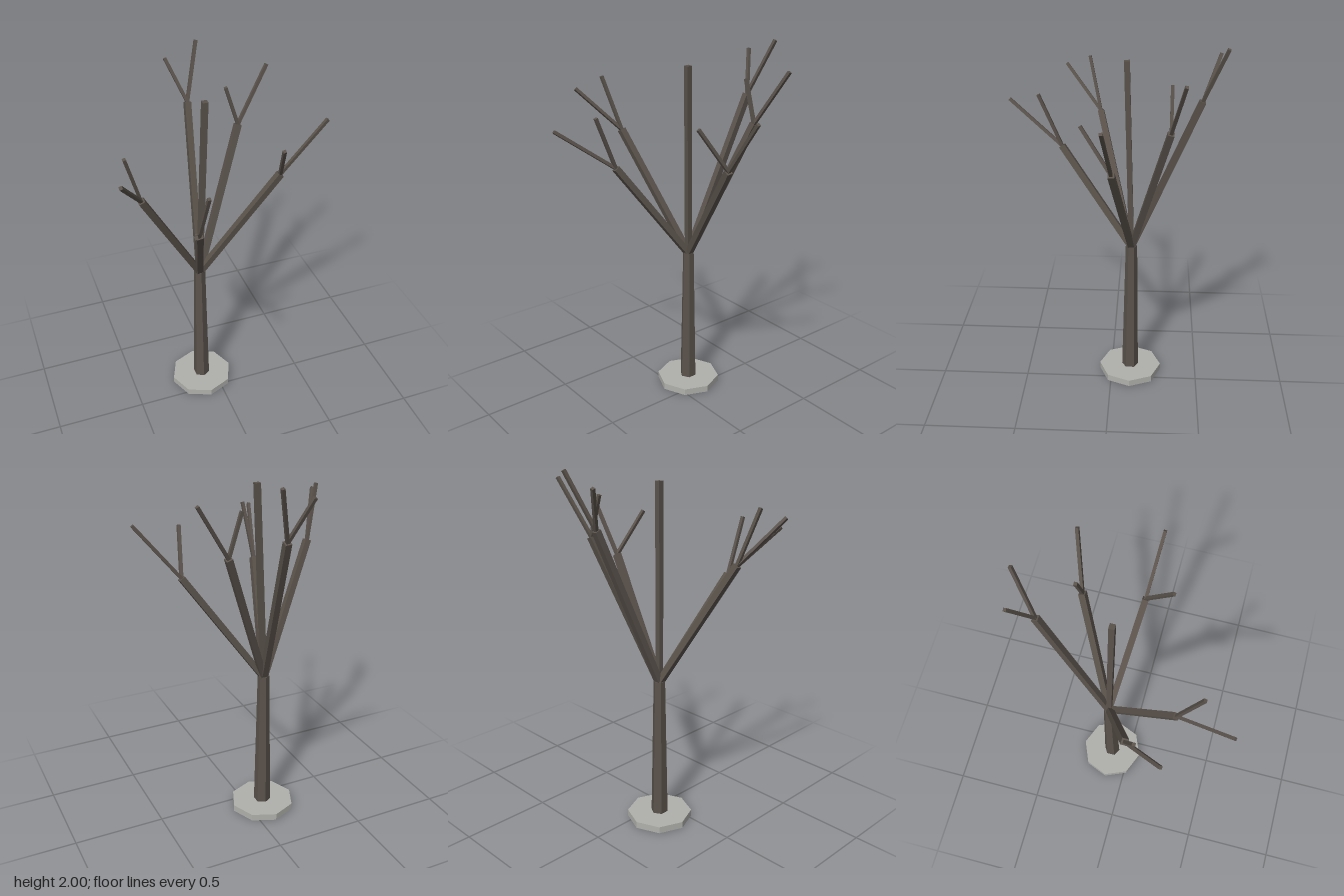
import * as THREE from 'three';

const UP = new THREE.Vector3(0, 1, 0);

export function createModel() {
  const tree = new THREE.Group();
  tree.name = 'bareTree';
  const bark = new THREE.MeshStandardMaterial({ color: 0x5a524b });
  bark.name = 'bark';
  bark.flatShading = true;
  const stone = new THREE.MeshStandardMaterial({ color: 0xb0b0ac });
  stone.name = 'stone';
  stone.flatShading = true;

  function add(name, geometry, material, parent = tree) {
    const mesh = new THREE.Mesh(geometry, material);
    mesh.name = name;
    parent.add(mesh);
    return mesh;
  }

  // Square bar running between two points
  function limb(name, from, to, width, parent) {
    const a = new THREE.Vector3(...from);
    const b = new THREE.Vector3(...to);
    const dir = b.clone().sub(a);
    const mesh = add(name, new THREE.BoxGeometry(width, dir.length(), width), bark, parent);
    mesh.position.copy(a).add(b).multiplyScalar(0.5);
    mesh.quaternion.setFromUnitVectors(UP, dir.normalize());
  }

  // Octagonal base, and a trunk whose foot shows underneath it
  const cx = -0.085, cz = -0.11;
  add('base', new THREE.CylinderGeometry(0.18, 0.18, 0.038, 8), stone).position.set(cx, 0.021, cz);
  add('trunk', new THREE.CylinderGeometry(0.032, 0.048, 0.84, 6), bark).position.set(cx, 0.42, cz);

  // Upright leader
  const crown = [cx, 0.83, cz];
  limb('leader', crown, [-0.053, 1.9, -0.077], 0.029, tree);

  // Five forked branches: fork point, then the two twig tips
  const branches = [
    [[-0.44, 1.51, 0.08], [-0.578, 1.74, 0.28], [-0.523, 1.8, 0.145]],
    [[-0.213, 1.38, 0.28], [-0.325, 1.605, 0.575], [-0.202, 1.67, 0.4]],
    [[0.34, 1.44, -0.017], [0.575, 1.735, 0.016], [0.287, 1.67, 0.135]],
    [[0.21, 1.61, -0.305], [0.39, 1.9, -0.365], [0.14, 1.835, -0.306]],
    [[-0.018, 1.705, -0.465], [0.072, 1.995, -0.575], [-0.108, 1.93, -0.553]],
  ];
  for (const [fork, ...tips] of branches) {
    const group = new THREE.Group();
    group.name = 'forkedBranch';
    tree.add(group);
    limb('branch', crown, fork, 0.034, group);
    for (const tip of tips) limb('twig', fork, tip, 0.017, group);
  }
  return tree;
}
